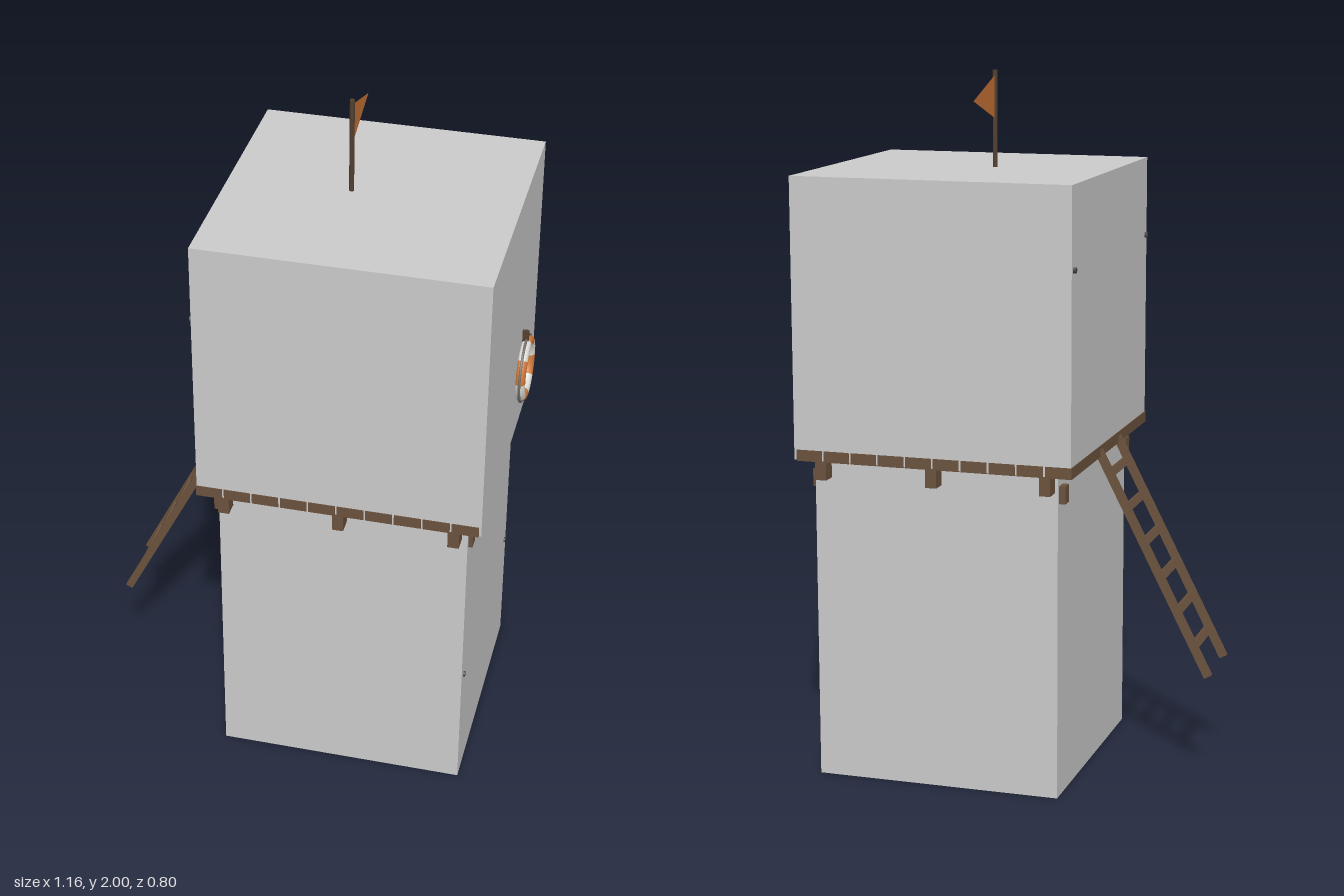
import * as THREE from 'three';

const material = (name, color, extra = {}) => {
  const m = new THREE.MeshStandardMaterial({ color, ...extra });
  m.name = name;
  return m;
};

export function createModel() {
  const grey = material('grey', 0xcacaca);
  const wood = material('wood', 0x6b523d);
  const darkWood = material('darkWood', 0x54402f);
  const orange = material('orange', 0xd07838);
  const cloth = material('flagCloth', 0xc97336, { side: THREE.DoubleSide });
  const white = material('white', 0xdedcd6);
  const rope = material('rope', 0x77746c);
  const metal = material('metal', 0x454545);

  const model = new THREE.Group();
  model.name = 'watchtower';

  const add = (name, geometry, mat, x = 0, y = 0, z = 0, parent = model) => {
    const mesh = new THREE.Mesh(geometry, mat);
    mesh.name = name;
    mesh.position.set(x, y, z);
    parent.add(mesh);
    return mesh;
  };
  // Box given by its lower and upper limits on each axis
  const box = (name, mat, x0, x1, y0, y1, z0, z1) =>
    add(name, new THREE.BoxGeometry(x1 - x0, y1 - y0, z1 - z0), mat,
      (x0 + x1) / 2, (y0 + y1) / 2, (z0 + z1) / 2);

  // Two main blocks
  box('lowerBlock', grey, -0.2, 0.51, 0.001, 0.936, -0.354, 0.354);
  box('upperBlock', grey, -0.25, 0.554, 0.935, 1.728, -0.4, 0.4);

  // Platform planks
  const count = 10, pitch = 0.804 / count;
  for (let i = 0; i < count; i++) {
    const x = -0.252 + i * pitch;
    box('plank', wood, x, x + pitch - 0.005, 0.932, 0.964, -0.4005, 0.402);
  }

  // Joists along z, with bearers along x below them
  for (const x of [-0.175, 0.152, 0.477]) box('joist', wood, x - 0.016, x + 0.016, 0.88, 0.932, -0.398, 0.398);
  for (const z of [-0.325, 0.325]) box('bearer', wood, -0.218, 0.522, 0.848, 0.898, z - 0.018, z + 0.018);

  // Ladder built upright, then leaned against the platform
  const ladder = new THREE.Group();
  ladder.name = 'ladder';
  const dx = 0.325, dy = 0.635, length = Math.hypot(dx, dy);
  for (const z of [-0.1, 0.1]) {
    add('ladderRail', new THREE.BoxGeometry(0.022, length, 0.018), wood, 0, length / 2, z, ladder);
  }
  for (let i = 0; i < 7; i++) {
    add('ladderRung', new THREE.BoxGeometry(0.016, 0.022, 0.2), wood, 0, 0.095 + i * 0.109, 0, ladder);
  }
  ladder.position.set(-0.57, 0.315, 0);
  ladder.rotation.z = -Math.atan2(dx, dy);
  model.add(ladder);

  // Flag and pole
  add('flagPole', new THREE.CylinderGeometry(0.007, 0.007, 0.275, 8), darkWood, 0.091, 1.8625, 0);
  const pennant = new THREE.Shape([
    new THREE.Vector2(0, -0.06), new THREE.Vector2(0.19, 0), new THREE.Vector2(0, 0.06),
  ]);
  add('flag', new THREE.ShapeGeometry(pennant), cloth, 0.091, 1.925, -0.003).rotation.y = Math.PI / 2;

  // Lifebuoy with alternating segments; local x runs along +z
  const buoy = new THREE.Group();
  buoy.name = 'lifebuoy';
  for (let i = 0; i < 8; i++) {
    const segment = new THREE.TorusGeometry(0.082, 0.015, 10, 5, Math.PI / 4);
    segment.rotateZ(i * Math.PI / 4);
    add('lifebuoySegment', segment, i % 2 ? white : orange, 0, 0, 0, buoy);
  }
  add('lifebuoyRope', new THREE.TorusGeometry(0.098, 0.004, 6, 40), rope, 0, 0, 0, buoy);
  buoy.position.set(0.566, 1.12, -0.168);
  buoy.rotation.y = -Math.PI / 2;
  model.add(buoy);
  box('lifebuoyHook', darkWood, 0.55, 0.572, 1.205, 1.247, -0.173, -0.163);

  // Bolt heads on the sides, and post feet under the base
  for (const z of [-1, 1]) {
    add('upperBolt', new THREE.CylinderGeometry(0.008, 0.008, 0.016, 8), metal, -0.25, 1.5, z * 0.382).rotation.z = Math.PI / 2;
    add('lowerBolt', new THREE.CylinderGeometry(0.008, 0.008, 0.01, 8), metal, 0.51, 0.372, z * 0.324).rotation.z = Math.PI / 2;
  }
  for (const [x, z] of [[0.485, 0.33], [-0.178, 0.33], [-0.178, -0.33]]) {
    add('postFoot', new THREE.CylinderGeometry(0.014, 0.014, 0.012, 8), darkWood, x, 0.006, z);
  }
  return model;
}
